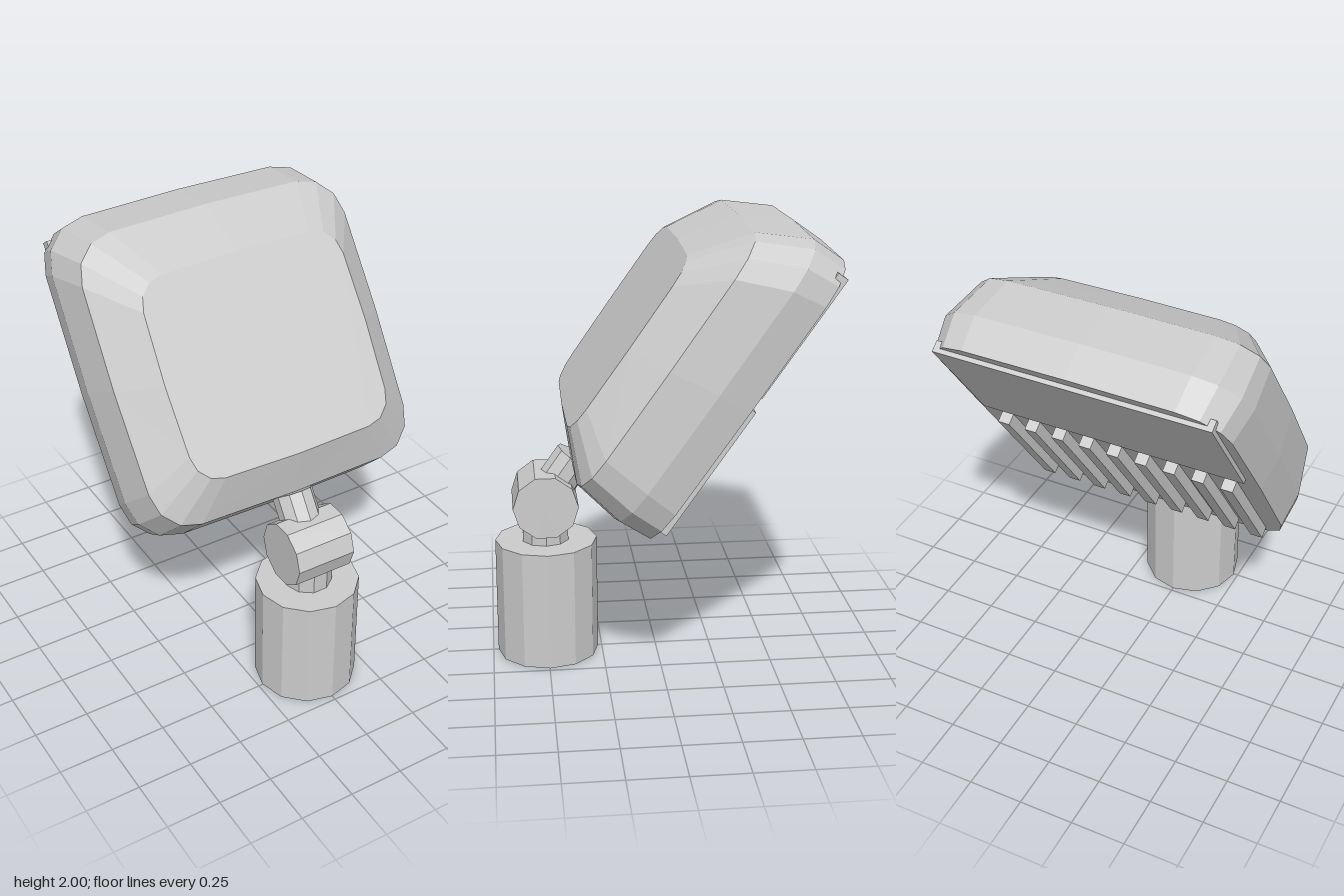
import * as THREE from 'three';

const TILT = 0.613;

// Facet a geometry so every face has its own flat normal
function faceted(geo) {
  const g = geo.index ? geo.toNonIndexed() : geo;
  g.computeVertexNormals();
  return g;
}

// Rounded rectangle outline, counter-clockwise, with slightly bowed sides
function outline({ halfX, low, high, radius, z }) {
  const cy = (low + high) / 2, halfY = (high - low) / 2, bow = 0.008, pts = [];
  const corners = [[1, 1], [-1, 1], [-1, -1], [1, -1]];
  corners.forEach(([sx, sy], c) => {
    for (let i = 0; i <= 3; i++) {
      const a = (c + i / 3) * Math.PI / 2;
      pts.push([
        sx * (halfX - bow - radius) + radius * Math.cos(a),
        cy + sy * (halfY - bow - radius) + radius * Math.sin(a), z]);
    }
    // bowed middle of the following side
    const m = (c + 1) * Math.PI / 2;
    pts.push([Math.cos(m) * halfX, cy + Math.sin(m) * halfY, z]);
  });
  return pts;
}

// Skin a list of outlines from back to front and cap both ends
function loft(sections) {
  const rings = sections.map(outline), n = rings[0].length;
  const verts = rings.flat(2), idx = [];
  for (let r = 0; r < rings.length - 1; r++) {
    for (let i = 0; i < n; i++) {
      const j = (i + 1) % n, a = r * n + i, b = r * n + j;
      idx.push(a, b, b + n, a, b + n, a + n);
    }
  }
  const top = (rings.length - 1) * n;
  for (let i = 1; i < n - 1; i++) {
    idx.push(0, i + 1, i);
    idx.push(top, top + i, top + i + 1);
  }
  const g = new THREE.BufferGeometry();
  g.setAttribute('position', new THREE.Float32BufferAttribute(verts, 3));
  g.setIndex(idx);
  return faceted(g);
}

export function createModel() {
  const model = new THREE.Group();
  model.name = 'floodlight';
  const grey = new THREE.MeshStandardMaterial({ color: 0xcccccc });
  grey.name = 'light grey';

  const add = (parent, name, geo, x, y, z) => {
    const mesh = new THREE.Mesh(geo, grey);
    mesh.name = name;
    mesh.position.set(x, y, z);
    parent.add(mesh);
    return mesh;
  };
  const cylinder = (r, h, sides) => faceted(new THREE.CylinderGeometry(r, r, h, sides));

  // Base, lower neck and swivel joint
  add(model, 'base', cylinder(0.23, 0.54, 12), 0, 0.27, 0.497);
  add(model, 'lowerNeck', cylinder(0.107, 0.12, 10), 0, 0.59, 0.5).rotation.y = Math.PI / 10;
  add(model, 'swivelJoint', cylinder(0.146, 0.28, 10), 0, 0.73, 0.5).rotation.z = Math.PI / 2;

  // Everything above the joint leans back together
  const head = new THREE.Group();
  head.name = 'lampHead';
  head.rotation.x = -TILT;
  model.add(head);

  add(head, 'upperNeck', cylinder(0.091, 0.24, 10), 0, 0.43, 0.829);

  // Housing lofted from the back plate to the smaller front lens face
  add(head, 'housing', loft([
    { halfX: 0.66, low: 0.517, high: 1.957, radius: 0.19, z: 0.485 },
    { halfX: 0.688, low: 0.513, high: 1.957, radius: 0.21, z: 0.64 },
    { halfX: 0.657, low: 0.55, high: 1.843, radius: 0.19, z: 0.856 },
    { halfX: 0.497, low: 0.716, high: 1.607, radius: 0.13, z: 1.012 },
  ]), 0, 0, 0);

  // Raised cover on the upper back
  add(head, 'backCover', new THREE.BoxGeometry(1.22, 0.59, 0.05), 0, 1.603, 0.49);

  // Nine cooling fins on the lower back
  const fins = new THREE.Group();
  fins.name = 'coolingFins';
  head.add(fins);
  for (let i = -4; i <= 4; i++) {
    add(fins, 'coolingFin', new THREE.BoxGeometry(0.055, 0.643, 0.08), i * 0.132, 0.918, 0.474);
  }

  return model;
}
